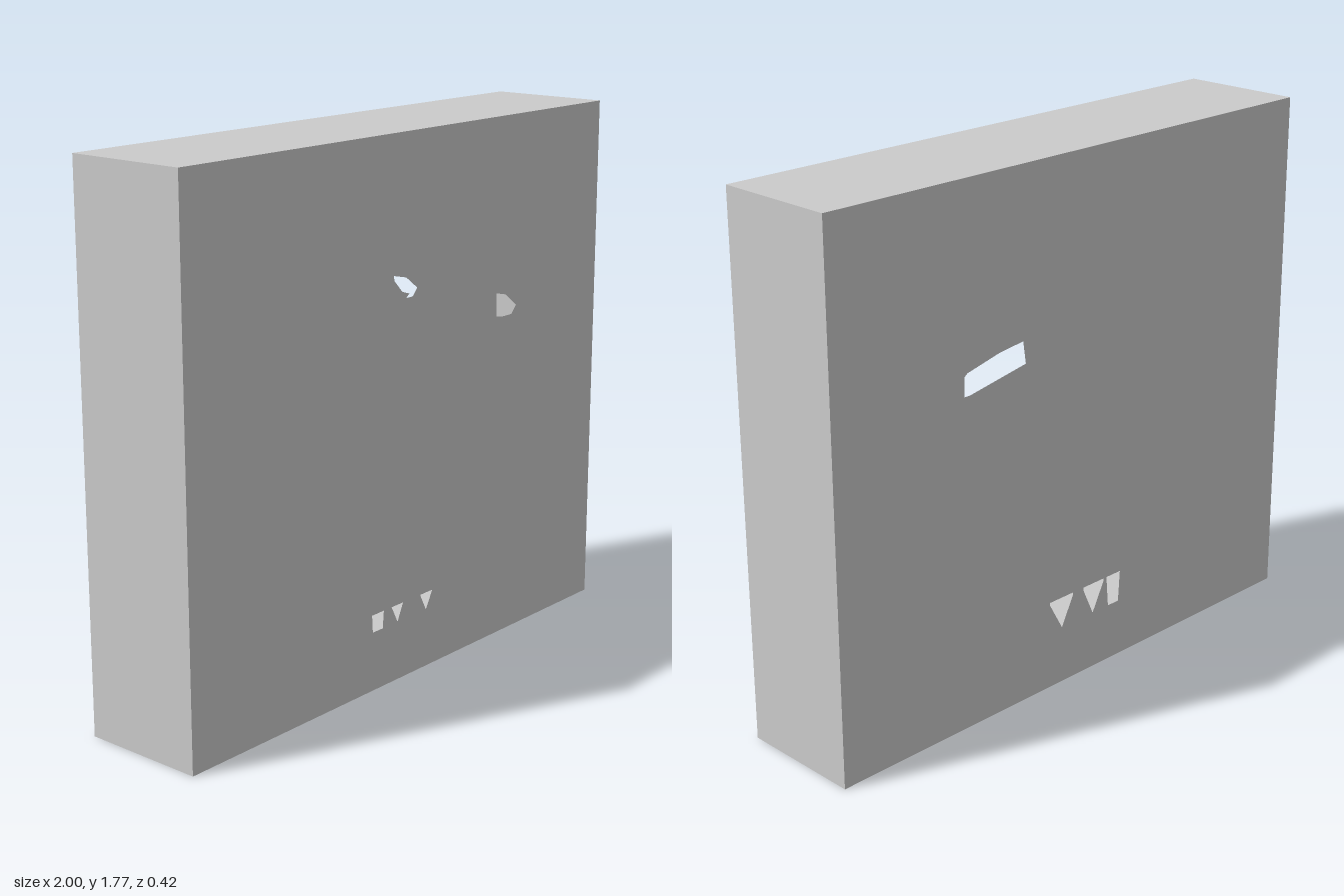
import * as THREE from 'three';

const W = 2, H = 1.77, D = 0.42;

// Outline of the standing figure with one arm stretched out to its left
function figureOutline() {
  const points = [
    // hanging arm, outer side
    [-0.02, 1.267], [-0.05, 1.245], [-0.155, 1.1], [-0.2, 0.8], [-0.206, 0.7], [-0.206, 0.4], [-0.193, 0.198],
    // hanging arm, inner side
    [-0.144, 0.198], [-0.128, 0.385], [-0.123, 0.76], [-0.1, 0.834], [-0.092, 0.77],
    // legs
    [-0.119, 0.7], [-0.12, 0.295], [-0.07, 0.198], [-0.025, 0.295], [-0.025, 0.7],
    [0.025, 0.7], [0.025, 0.295], [0.075, 0.198], [0.13, 0.295], [0.13, 0.7], [0.105, 0.77],
    // torso side and stretched arm
    [0.1, 0.95], [0.095, 1.18], [0.21, 1.155], [0.47, 1.11], [0.515, 1.11], [0.54, 1.137],
    [0.48, 1.182], [0.35, 1.212], [0.2, 1.23], [0.06, 1.243], [0.054, 1.267],
    // head
    [0.088, 1.31], [0.107, 1.374],
  ].map(([x, y]) => new THREE.Vector2(x, y));
  for (let i = 1; i <= 7; i++) {
    const a = (i * Math.PI) / 6;
    points.push(new THREE.Vector2(0.107 * Math.cos(a), 1.374 + 0.113 * Math.sin(a)));
  }
  points.push(new THREE.Vector2(-0.055, 1.278));
  return points;
}

export function createModel() {
  const group = new THREE.Group();
  const material = new THREE.MeshStandardMaterial({
    color: 0xcccccc, flatShading: true, side: THREE.DoubleSide,
  });

  // Thin panels with the cut-out: the inside of the box is hollow
  const panel = new THREE.Shape([
    new THREE.Vector2(-W / 2, 0), new THREE.Vector2(W / 2, 0),
    new THREE.Vector2(W / 2, H), new THREE.Vector2(-W / 2, H),
  ]);
  panel.holes.push(new THREE.Path(figureOutline()));
  const front = new THREE.ShapeGeometry(panel);
  const back = front.clone();
  const index = back.index.array;
  for (let i = 0; i < index.length; i += 3) {
    [index[i], index[i + 1]] = [index[i + 1], index[i]];
  }
  const normals = back.attributes.normal;
  for (let i = 0; i < normals.count; i++) normals.setZ(i, -1);

  const add = (name, geometry, position, rotation = [0, 0, 0]) => {
    const mesh = new THREE.Mesh(geometry, material);
    mesh.name = name;
    mesh.position.set(...position);
    mesh.rotation.set(...rotation);
    group.add(mesh);
  };
  add('frontPanel', front, [0, 0, D / 2]);
  add('backPanel', back, [0, 0, -D / 2]);

  // Outer walls closing the box between the panels
  const q = Math.PI / 2;
  const side = new THREE.PlaneGeometry(D, H);
  const flat = new THREE.PlaneGeometry(W, D);
  add('leftWall', side, [W / 2, H / 2, 0], [0, q, 0]);
  add('rightWall', side, [-W / 2, H / 2, 0], [0, -q, 0]);
  add('topWall', flat, [0, H, 0], [-q, 0, 0]);
  add('bottomWall', flat, [0, 0, 0], [q, 0, 0]);
  return group;
}
